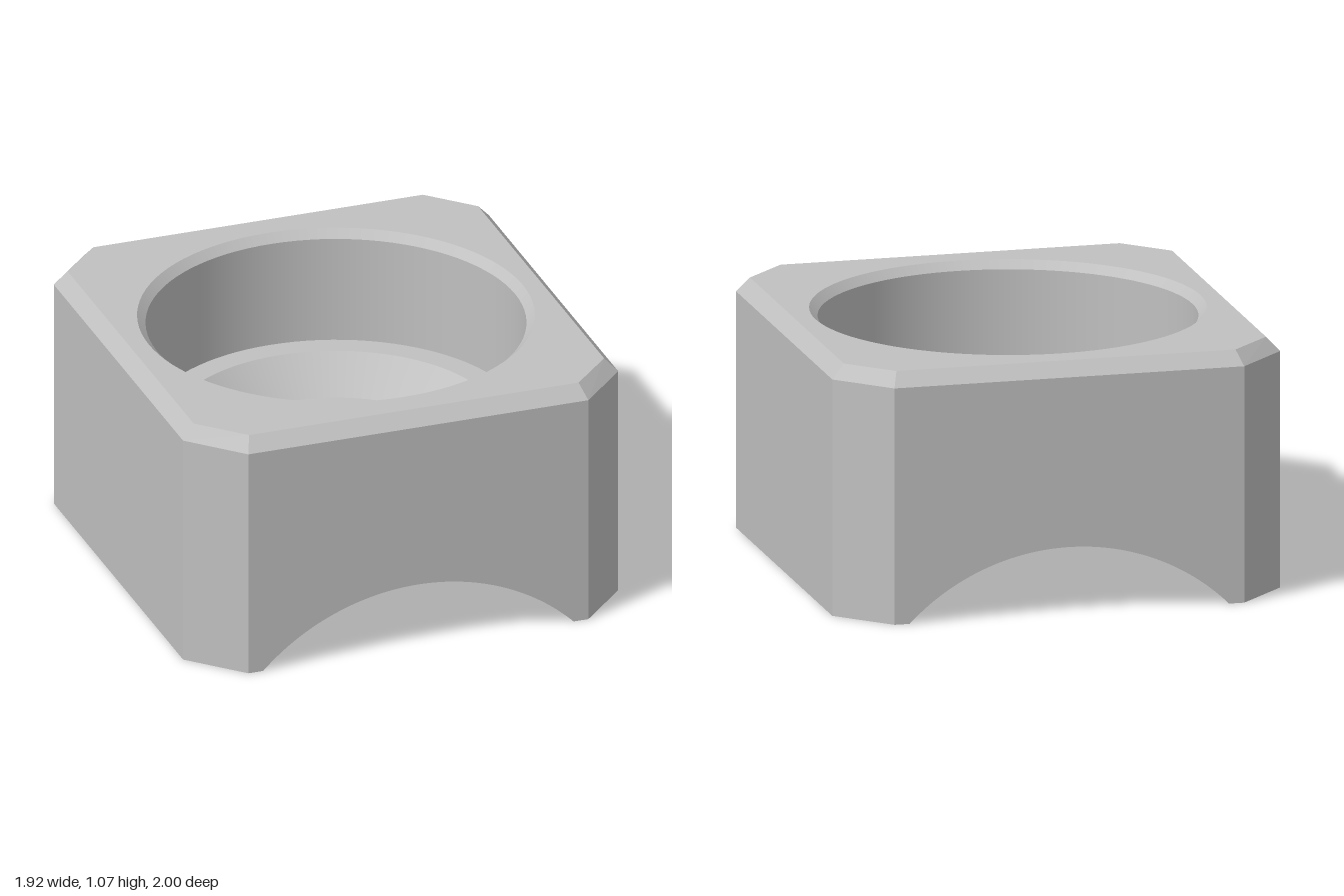
import * as THREE from 'three';
import { mergeGeometries } from 'three/addons/utils/BufferGeometryUtils.js';

const TOP = 1.07, SHOULDER = 1.01;       // top face, start of the top bevel
const GROOVE_W = 0.685, GROOVE_H = 0.285; // half width and height of the underside arch
const R = (GROOVE_W ** 2 + GROOVE_H ** 2) / (2 * GROOVE_H);
const CY = GROOVE_H - R;
const HALF = Math.asin(GROOVE_W / R);

// Octagonal outlines as [x, z], counter-clockwise from the front edge
const octagon = (x, z, cx, cz) => [
  [-cx, z], [cx, z], [x, cz], [x, -cz], [cx, -z], [-cx, -z], [-x, -cz], [-x, cz],
];
const outer = octagon(0.96, 1, 0.75, 0.785);
const inner = octagon(0.905, 0.945, 0.727, 0.765);

// Flat-faced band between two outlines
function band(low, y0, high, y1, skip = []) {
  const pos = [];
  low.forEach((a, i) => {
    if (skip.includes(i)) return;
    const j = (i + 1) % low.length;
    const A = [a[0], y0, a[1]], B = [low[j][0], y0, low[j][1]];
    const C = [high[j][0], y1, high[j][1]], D = [high[i][0], y1, high[i][1]];
    pos.push(...A, ...B, ...C, ...A, ...C, ...D);
  });
  const g = new THREE.BufferGeometry();
  g.setAttribute('position', new THREE.Float32BufferAttribute(pos, 3));
  g.computeVertexNormals();
  return g;
}

const polygon = (pts) => new THREE.Shape(pts.map(([x, y]) => new THREE.Vector2(x, y)));

export function createModel() {
  const group = new THREE.Group();
  const grey = new THREE.MeshStandardMaterial({ color: 0xc0c0c0 });
  grey.name = 'grey';
  const add = (name, geometry) => {
    const mesh = new THREE.Mesh(geometry, grey);
    mesh.name = name;
    group.add(mesh);
    return mesh;
  };

  // Side walls and corner facets, then the sloping top edge
  add('sideWalls', band(outer, 0, outer, SHOULDER, [0, 4]));
  add('topBevel', band(outer, SHOULDER, inner, TOP));

  // Front and back walls with the arch cut out
  const arch = new THREE.Shape();
  arch.moveTo(-0.75, 0);
  arch.lineTo(-GROOVE_W, 0);
  arch.absarc(0, CY, R, Math.PI / 2 + HALF, Math.PI / 2 - HALF, true);
  arch.lineTo(0.75, 0);
  arch.lineTo(0.75, SHOULDER);
  arch.lineTo(-0.75, SHOULDER);
  const wall = new THREE.ShapeGeometry(arch, 48);
  add('frontWall', wall).position.z = 1;
  const back = add('backWall', wall);
  back.position.z = -1;
  back.rotation.y = Math.PI;

  // Cylindrical groove along the underside
  const groove = new THREE.LatheGeometry(
    [new THREE.Vector2(R, 1), new THREE.Vector2(R, -1)], 48, Math.PI - HALF, 2 * HALF);
  groove.rotateX(Math.PI / 2);
  groove.translate(0, CY, 0);
  add('underGroove', groove);

  // Flat feet on both sides of the groove
  for (const s of [1, -1]) {
    const foot = new THREE.ShapeGeometry(polygon([
      [s * GROOVE_W, 1], [s * 0.75, 1], [s * 0.96, 0.785],
      [s * 0.96, -0.785], [s * 0.75, -1], [s * GROOVE_W, -1],
    ]));
    foot.rotateX(Math.PI / 2);
    add(s > 0 ? 'leftFoot' : 'rightFoot', foot);
  }

  // Top face with the round opening
  const face = polygon(inner.map(([x, z]) => [x, -z]));
  const opening = new THREE.Path();
  opening.absarc(0, 0, 0.825, 0, Math.PI * 2, true);
  face.holes.push(opening);
  const topFace = new THREE.ShapeGeometry(face, 48);
  topFace.rotateX(-Math.PI / 2);
  topFace.translate(0, TOP, 0);
  add('topFace', topFace);

  // Stepped pocket: rim bevel, wall, ledge, cone, floor; each ring is separate for sharp edges
  const profile = [[0.825, TOP], [0.79, 1.035], [0.79, 0.57], [0.685, 0.57], [0.54, 0.425], [0, 0.425]]
    .map(([r, y]) => new THREE.Vector2(r, y));
  const rings = profile.slice(1).map((p, i) => new THREE.LatheGeometry([profile[i], p], 96));
  add('pocket', mergeGeometries(rings));

  return group;
}
